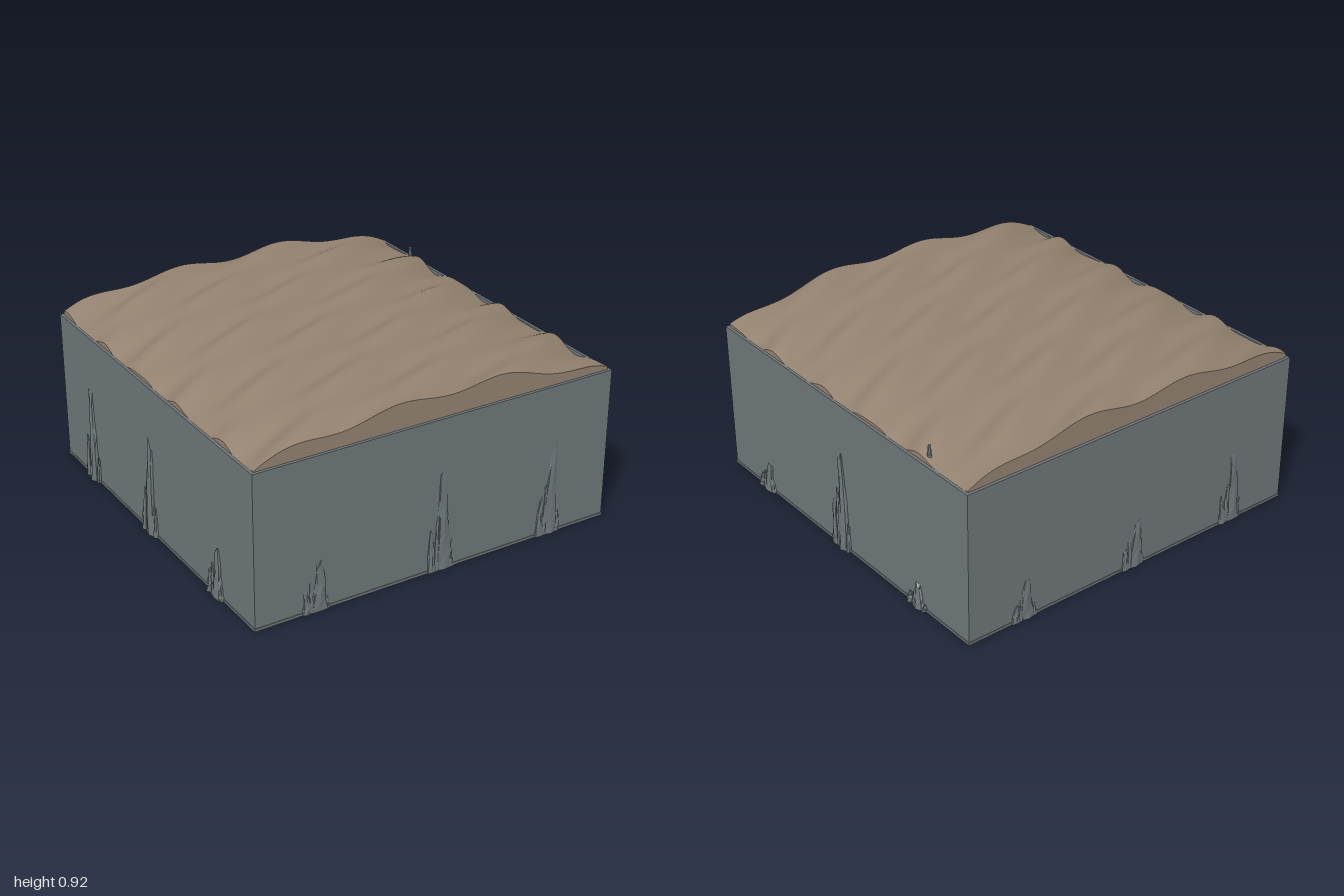
import * as THREE from 'three';

const HALF_X = 0.967, HALF_Z = 0.973, WALL = 0.015, WALL_TOP = 0.782;

// Domed bed with slanted ripples
function soilHeight(x, z) {
  const dome = 0.783 + 0.112 * (1 - Math.pow(Math.abs(x) / 0.96, 3));
  return dome + 0.018 * Math.cos(11 * (x + 0.22) + 16 * (z - 0.96))
    + 0.007 * Math.sin(5 * x + 27 * z);
}

function makeSoil(material) {
  const geo = new THREE.BoxGeometry(2 * (HALF_X - WALL), 0.3, 2 * (HALF_Z - WALL), 100, 1, 100);
  const p = geo.attributes.position;
  for (let i = 0; i < p.count; i++) {
    p.setY(i, p.getY(i) > 0 ? soilHeight(p.getX(i), p.getZ(i)) : 0.5);
  }
  geo.computeVertexNormals();
  const mesh = new THREE.Mesh(geo, material);
  mesh.name = 'rippledSoil';
  return mesh;
}

// Open rectangular frame of thin walls
function makeWalls(material) {
  const rect = (target, a, b) => {
    target.moveTo(-a, -b);
    target.lineTo(a, -b);
    target.lineTo(a, b);
    target.lineTo(-a, b);
    target.closePath();
    return target;
  };
  const shape = rect(new THREE.Shape(), HALF_X, HALF_Z);
  shape.holes.push(rect(new THREE.Path(), HALF_X - WALL, HALF_Z - WALL));
  const geo = new THREE.ExtrudeGeometry(shape, { depth: WALL_TOP, bevelEnabled: false });
  geo.rotateX(-Math.PI / 2);
  const mesh = new THREE.Mesh(geo, material);
  mesh.name = 'walls';
  return mesh;
}

// Jagged tapering rock sliver standing on its base
function makeShard(width, height, depth, seed, material) {
  const geo = new THREE.CylinderGeometry(0.4, 1, 1, 7, 5);
  const p = geo.attributes.position;
  for (let i = 0; i < p.count; i++) {
    const x = p.getX(i), y = p.getY(i) + 0.5, z = p.getZ(i);
    const a = Math.atan2(z, x);
    const rough = 1 + 0.16 * Math.sin(3 * a + 9 * y + seed * 2.3);
    const lean = 0.3 * Math.sin(y * 3 + seed) * y;
    const top = y > 0.95 ? 0.1 * Math.sin(a * 2 + seed) : 0;
    p.setXYZ(i, (x * rough + lean) * width / 2, (y + top) * height, z * rough * depth);
  }
  const flat = geo.toNonIndexed();
  flat.computeVertexNormals();
  const mesh = new THREE.Mesh(flat, material);
  mesh.name = 'rockShard';
  return mesh;
}

export function createModel() {
  const model = new THREE.Group();
  model.name = 'soilBlock';
  const stone = new THREE.MeshStandardMaterial({ color: 0x6f777a });
  stone.name = 'greyStone';
  const earth = new THREE.MeshStandardMaterial({ color: 0x948270 });
  earth.name = 'brownEarth';

  const base = new THREE.Mesh(new THREE.BoxGeometry(2 * HALF_X + 0.006, 0.014, 2 * HALF_Z + 0.006), stone);
  base.position.y = 0.007;
  base.name = 'basePlate';
  model.add(base, makeWalls(stone), makeSoil(earth));

  // Each side: turn about y, distance out, bulge, then [offset along side, height]
  const sides = [
    ['front', 0, HALF_Z, 0.014, [[-0.65, 0.24], [0.02, 0.47], [0.64, 0.45]]],
    ['left', Math.PI / 2, HALF_X, 0.028, [[-0.66, 0.15], [0, 0.49], [0.6, 0.12]]],
    ['back', Math.PI, HALF_Z, 0.014, [[-0.65, 0.2], [0, 0.24], [0.63, 0.34]]],
    ['right', -Math.PI / 2, HALF_X, 0.028, [[-0.65, 0.46], [-0.02, 0.49], [0.63, 0.24]]],
  ];
  sides.forEach(([name, turn, out, bulge, clumps], s) => {
    const side = new THREE.Group();
    side.name = name + 'Rocks';
    side.rotation.y = turn;
    clumps.forEach(([x, h], k) => {
      // Tall sliver with shorter ones leaning beside it
      [[0.01, 0.085, 1, 1], [-0.055, 0.05, 0.45, 0.9], [-0.025, 0.04, 0.6, 0.7], [0.05, 0.03, 0.3, 0.7]]
        .forEach(([dx, w, hs, d], j) => {
          const shard = makeShard(w, h * hs, bulge * d, s * 5 + k * 2 + j, stone);
          shard.position.set(x + dx, 0, out);
          side.add(shard);
        });
    });
    model.add(side);
  });

  // Small stone poking out of the soil
  const spike = makeShard(0.03, 0.12, 0.022, 1, stone);
  spike.position.set(0.925, 0.73, -0.65);
  spike.name = 'soilStone';
  model.add(spike);

  return model;
}
